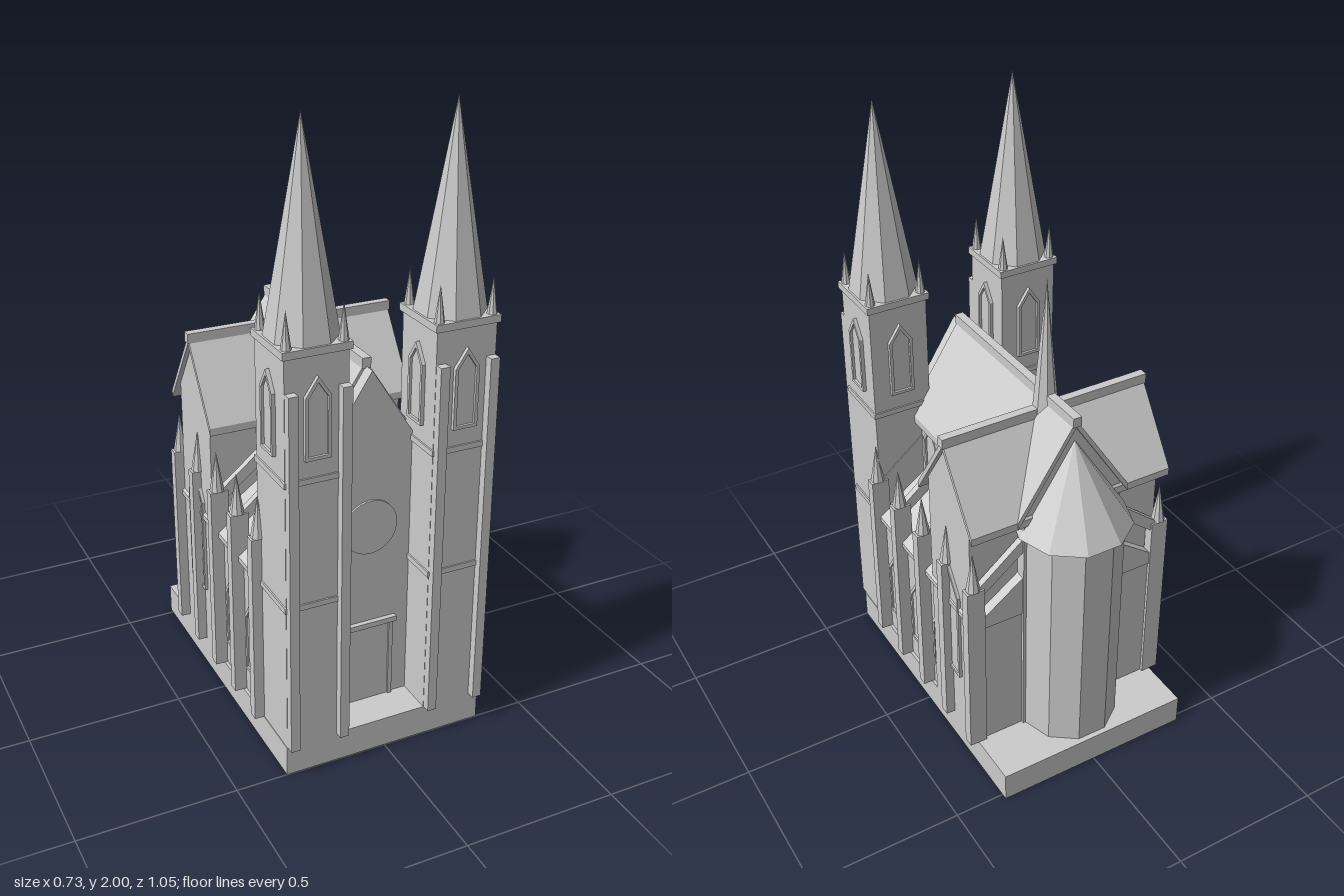
import * as THREE from 'three';

export function createModel() {
  const root = new THREE.Group();
  root.name = 'cathedral';
  const stone = new THREE.MeshStandardMaterial({ color: 0xcccccc, flatShading: true });
  stone.name = 'pale stone';

  const add = (name, geo, parent = root) => {
    const m = new THREE.Mesh(geo, stone);
    m.name = name;
    parent.add(m);
    return m;
  };
  // Box given by its ranges
  const box = (name, x0, x1, y0, y1, z0, z1, parent) => {
    const m = add(name, new THREE.BoxGeometry(x1 - x0, y1 - y0, z1 - z0), parent);
    m.position.set((x0 + x1) / 2, (y0 + y1) / 2, (z0 + z1) / 2);
    return m;
  };
  // Pointed solid with n sides
  const cone = (name, r, y0, y1, x, z, n, turn, parent) => {
    const m = add(name, new THREE.ConeGeometry(r, y1 - y0, n), parent);
    m.position.set(x, (y0 + y1) / 2, z);
    m.rotation.y = turn;
    return m;
  };
  const polygon = pts => new THREE.Shape(pts.map(p => new THREE.Vector2(...p)));
  // Outline in x and y, pushed from z0 to z1
  const prism = (name, pts, z0, z1, parent) => {
    const g = new THREE.ExtrudeGeometry(polygon(pts), { depth: z1 - z0, bevelEnabled: false });
    g.translate(0, 0, z0);
    return add(name, g, parent);
  };

  // Pointed window: raised frame around a thin pane
  const arch = (w, y0, y1) => [[-w, y0], [w, y0], [w, y1 - w * 1.5], [0, y1], [-w, y1 - w * 1.5]];
  const pointedWindow = (name, w, h, x, y, z, turn, parent = root, depth = 0.01) => {
    const g = new THREE.Group();
    g.name = name;
    const s = polygon(arch(w, 0, h));
    s.holes.push(new THREE.Path(arch(w - 0.01, 0.01, h - 0.018).map(p => new THREE.Vector2(...p))));
    add('windowFrame', new THREE.ExtrudeGeometry(s, { depth, bevelEnabled: false }), g);
    prism('windowPane', arch(w - 0.01, 0.01, h - 0.018), 0, 0.004, g);
    g.position.set(x, y, z);
    g.rotation.y = turn;
    parent.add(g);
  };

  // Gabled hall running along z: walls, roof slabs and ridge cap
  const hall = (name, o, parent = root) => {
    const g = new THREE.Group();
    g.name = name;
    const { wall, eave, ridge, run, z0, z1, over } = o;
    const k = (ridge - eave) / run, t = 0.025;
    const yw = ridge - t - k * wall;
    prism(name + 'Walls', [[-wall, 0.1], [wall, 0.1], [wall, yw], [0, ridge - t], [-wall, yw]], z0, z1, g);
    prism(name + 'Roof', [[-run, eave], [-run, eave - t], [0, ridge - t], [run, eave - t], [run, eave], [0, ridge]],
      z0 - over, z1 + over, g);
    box(name + 'RidgeCap', -0.014, 0.014, ridge - 0.02, ridge + 0.012, z0 - over - 0.005, z1 + over + 0.005, g);
    parent.add(g);
    return g;
  };

  // Plinth
  box('plinth', -0.335, 0.335, 0, 0.1, -0.52, 0.5);

  // Nave and transept
  hall('nave', { wall: 0.17, eave: 0.945, ridge: 1.243, run: 0.195, z0: -0.35, z1: 0.33, over: 0.008 });
  const transept = hall('transept',
    { wall: 0.125, eave: 0.945, ridge: 1.193, run: 0.168, z0: -0.335, z1: 0.335, over: 0.015 });
  transept.rotation.y = Math.PI / 2;
  transept.position.z = -0.187;
  cone('crossingSpire', 0.042, 1.17, 1.62, 0, -0.187, 8, Math.PI / 8);

  // Apse: ten-sided body and roof
  const apse = add('apse', new THREE.CylinderGeometry(0.16, 0.16, 0.78, 10));
  apse.position.set(0, 0.49, -0.35);
  apse.rotation.y = Math.PI / 10;
  cone('apseRoof', 0.187, 0.88, 1.17, 0, -0.35, 10, Math.PI / 10);

  // West front with gable, door and round window
  prism('westFront', [[-0.145, 0.1], [0.145, 0.1], [0.145, 1.0], [0, 1.228], [-0.145, 1.0]], 0.32, 0.378);
  for (const s of [-1, 1]) box('doorJamb', s * 0.076 - 0.007, s * 0.076 + 0.007, 0.1, 0.37, 0.37, 0.388);
  box('door', -0.07, 0.07, 0.1, 0.37, 0.37, 0.382);
  box('doorLintel', -0.092, 0.092, 0.37, 0.388, 0.37, 0.394);
  const rose = add('roseWindow', new THREE.CylinderGeometry(0.09, 0.09, 0.008, 32));
  rose.rotation.x = Math.PI / 2;
  rose.position.set(0, 0.72, 0.381);

  for (const s of [-1, 1]) {
    const turn = s * Math.PI / 2;

    // Side aisle with lean-to roof
    const a = (x0, x1) => [Math.min(s * x0, s * x1), Math.max(s * x0, s * x1)];
    box('aisle', ...a(0.16, 0.325), 0.1, 0.59, -0.34, 0.31);
    prism('aisleRoof', [[s * 0.16, 0.575], [s * 0.343, 0.575], [s * 0.343, 0.592], [s * 0.16, 0.725]], -0.345, 0.31);

    // Aisle and clerestory windows
    for (const z of [0.232, 0.072, -0.088]) {
      pointedWindow('aisleWindow', 0.042, 0.26, s * 0.325, 0.195, z, turn);
      pointedWindow('clerestoryWindow', 0.042, 0.21, s * 0.17, 0.73, z, turn);
    }
    pointedWindow('transeptWindow', 0.06, 0.42, s * 0.335, 0.305, -0.187, turn);

    // Buttresses, pinnacles and flyers
    for (const z of [0.312, 0.152, -0.01, -0.17, -0.333]) {
      box('buttress', ...a(0.305, 0.365), 0.1, 0.735, z - 0.017, z + 0.017);
      cone('buttressPinnacle', 0.023, 0.735, 0.87, s * 0.337, z, 8, Math.PI / 8);
      prism('flyingButtress', [[s * 0.165, 0.82], [s * 0.33, 0.69], [s * 0.33, 0.735], [s * 0.165, 0.87]],
        z - 0.011, z + 0.011);
    }

    // Tower
    const tower = new THREE.Group();
    tower.name = 'tower';
    const h = 0.098;
    box('towerShaft', -h, h, 0.1, 1.37, -h, h, tower);
    for (const y of [0.585, 0.99]) box('stringCourse', -0.103, 0.103, y - 0.009, y + 0.009, -0.103, 0.103, tower);
    box('cornice', -0.106, 0.106, 1.365, 1.388, -0.106, 0.106, tower);
    cone('towerSpire', 0.108, 1.385, 2, 0, 0, 8, Math.PI / 8, tower);
    for (const x of [-1, 1]) {
      box('towerButtress', x * 0.082 - 0.015, x * 0.082 + 0.015, 0.1, 1.265, 0.09, 0.125, tower);
      for (const z of [-1, 1])
        cone('cornerPinnacle', 0.016, 1.385, 1.5, x * 0.086, z * 0.086, 8, Math.PI / 8, tower);
    }
    for (let i = 0; i < 4; i++) {
      const t = i * Math.PI / 2;
      pointedWindow('belfryWindow', 0.04, 0.25, Math.sin(t) * h, 1.055, Math.cos(t) * h, t, tower, 0.012);
    }
    tower.position.set(s * 0.235, 0, 0.402);
    root.add(tower);
  }
  return root;
}
